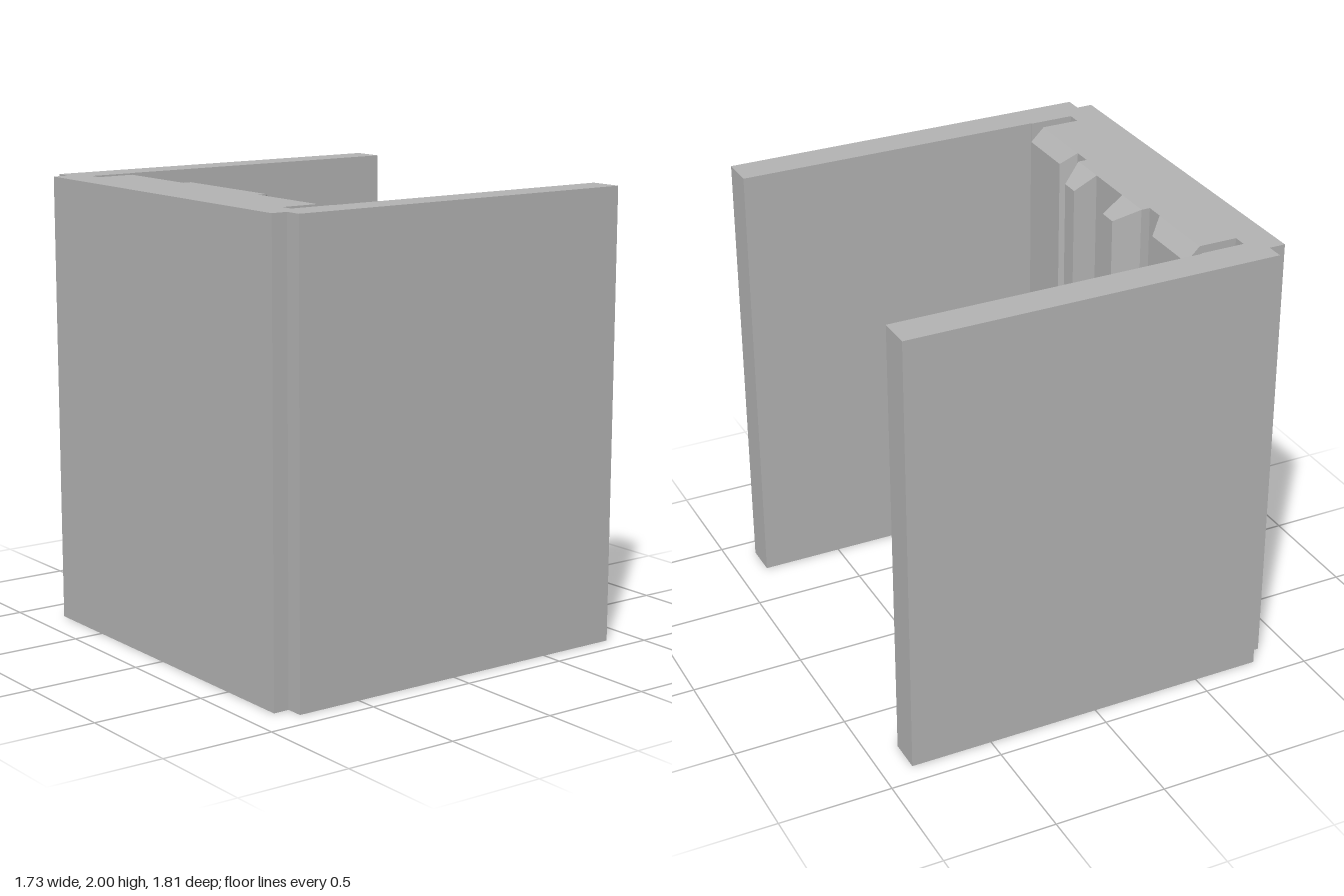
import * as THREE from 'three';

const HEIGHT = 2;

// Raised bar on the back panel: a base rectangle tapering to a smaller front face.
// Each rectangle is [x, zMin, zMax, yMin, yMax].
function taperedBar(base, face) {
  const corners = ([x, z0, z1, y0, y1]) => [[x, y0, z1], [x, y0, z0], [x, y1, z0], [x, y1, z1]];
  const b = corners(base), f = corners(face);
  const quads = [f, [b[3], b[2], b[1], b[0]]];
  for (let i = 0; i < 4; i++) {
    const j = (i + 1) % 4;
    quads.push([b[i], b[j], f[j], f[i]]);
  }
  const pos = quads.flatMap(([p, q, r, s]) => [p, q, r, p, r, s].flat());
  const geo = new THREE.BufferGeometry();
  geo.setAttribute('position', new THREE.Float32BufferAttribute(pos, 3));
  geo.computeVertexNormals();
  return geo;
}

// Same rectangle on the other side of the centre line
const mirrorZ = ([x, z0, z1, y0, y1]) => [x, -z1, -z0, y0, y1];

export function createModel() {
  const group = new THREE.Group();
  const grey = new THREE.MeshStandardMaterial({ color: 0xb2b2b2 });
  grey.name = 'grey';

  const add = (name, geo) => {
    const mesh = new THREE.Mesh(geo, grey);
    mesh.name = name;
    group.add(mesh);
  };

  // Channel: back panel, grooves and two side walls as one plan (x, z), extruded upward
  const half = [
    [-0.51, 0.28], [-0.55, 0.28], [-0.55, 0.69], [-0.72, 0.69], [-0.72, 0.75],
    [-0.52, 0.75], [-0.52, 0.755], [0.865, 0.755], [0.865, 0.905],
    [-0.795, 0.905], [-0.795, 0.828], [-0.867, 0.828],
  ];
  const plan = [...half, ...half.map(([x, z]) => [x, -z]).reverse()];
  const shape = new THREE.Shape(plan.map(([x, z]) => new THREE.Vector2(x, -z)));
  const channel = new THREE.ExtrudeGeometry(shape, { depth: HEIGHT, bevelEnabled: false });
  channel.rotateX(-Math.PI / 2);
  add('channelBody', channel);

  // Wide pads and narrow ribs, with sloped ends, on the inner face of the back panel
  const bars = [
    ['pad', [-0.55, 0.362, 0.69, 0, HEIGHT], [-0.488, 0.414, 0.69, 0.09, 1.94]],
    ['rib', [-0.51, 0.113, 0.28, 0, HEIGHT], [-0.41, 0.13, 0.212, 0.09, 1.94]],
  ];
  for (const [name, base, face] of bars) {
    add(name + 'Front', taperedBar(base, face));
    add(name + 'Back', taperedBar(mirrorZ(base), mirrorZ(face)));
  }
  return group;
}
